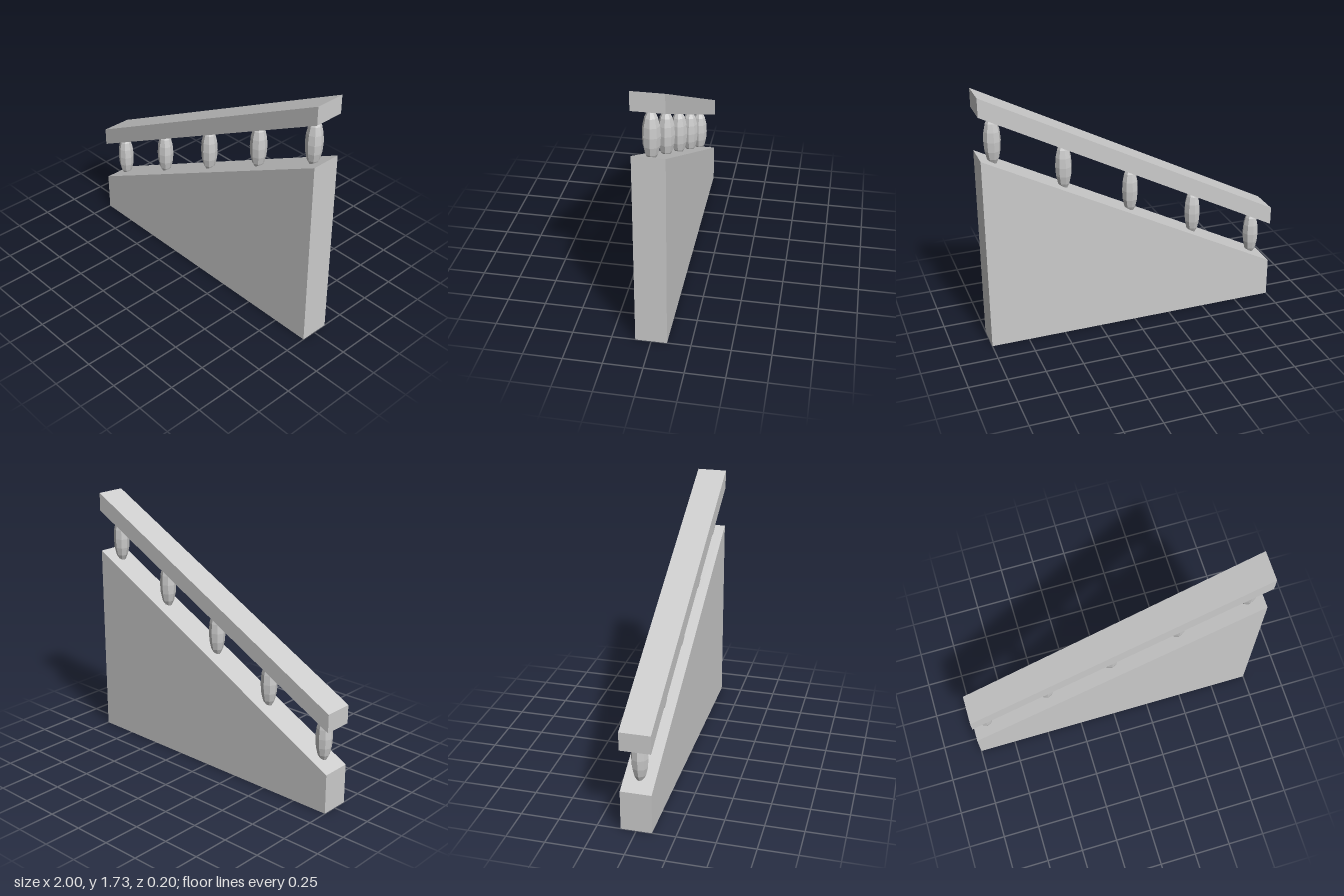
import * as THREE from 'three';

const DEPTH = 0.2;
const SLOPE = 0.525;

export function createModel() {
  const group = new THREE.Group();
  const material = new THREE.MeshStandardMaterial({ color: 0xcccccc, flatShading: true });

  const add = (name, geometry) => {
    const mesh = new THREE.Mesh(geometry, material);
    mesh.name = name;
    group.add(mesh);
    return mesh;
  };

  // Side profile pushed through the thickness, centred on z = 0
  const slab = (name, points) => {
    const shape = new THREE.Shape(points.map(([x, y]) => new THREE.Vector2(x, y)));
    const geometry = new THREE.ExtrudeGeometry(shape, { depth: DEPTH, bevelEnabled: false });
    geometry.translate(0, 0, -DEPTH / 2);
    return add(name, geometry);
  };

  // Solid sloping wall and the parallel handrail above it
  slab('wall', [[-1, 0], [1, 0], [1, 1.317], [-1, 0.267]]);
  slab('handrail', [[-1, 0.552], [1, 1.602], [1, 1.725], [-1, 0.675]]);

  // Five faceted balusters, their tips sunk into the wall and the rail
  const balusterGeometry = new THREE.SphereGeometry(1, 8, 8);
  balusterGeometry.scale(0.055, 0.165, 0.055);
  for (let i = -2; i <= 2; i++) {
    const x = i * 0.45;
    add('baluster', balusterGeometry).position.set(x, 0.934 + SLOPE * x, 0);
  }

  return group;
}
